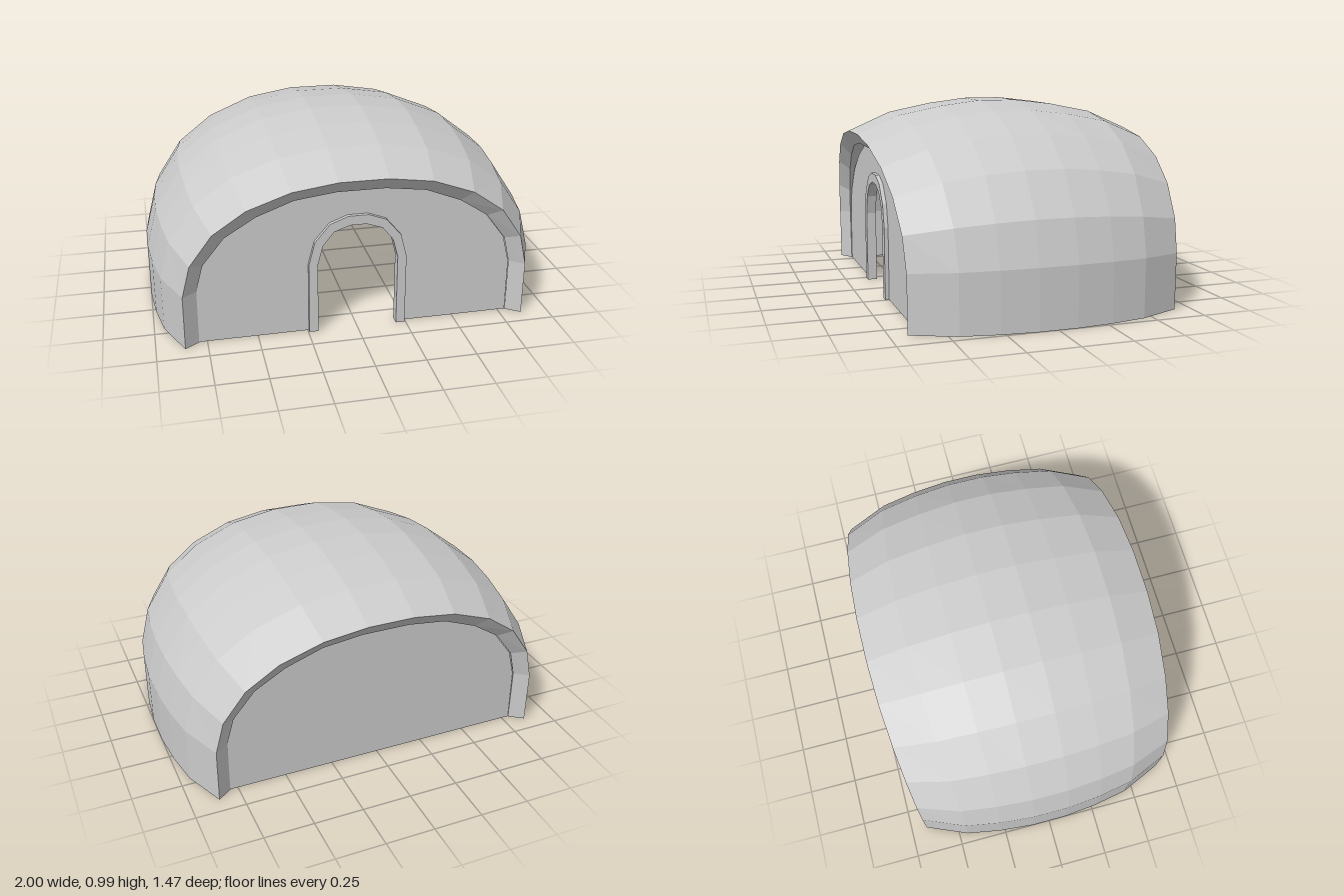
import * as THREE from 'three';

const material = new THREE.MeshStandardMaterial({ color: 0xcccccc, flatShading: true });

// half profiles, from the ground on the +x side up to the crown
const MID = [[1, 0], [1, 0.295], [0.945, 0.503], [0.81, 0.708], [0.62, 0.855], [0.38, 0.952], [0.13, 0.992]];
const END = [[0.86, 0], [0.86, 0.28], [0.82, 0.443], [0.71, 0.6], [0.55, 0.716], [0.34, 0.797], [0.12, 0.831]];
const INNER = [[0.79, 0], [0.79, 0.28], [0.755, 0.418], [0.65, 0.557], [0.5, 0.658], [0.32, 0.733], [0.12, 0.762]];
const LINING = [[0.78, 0], [0.78, 0.277], [0.745, 0.413], [0.643, 0.549], [0.495, 0.649], [0.317, 0.723], [0.119, 0.752]];
const DOOR_OUT = [[0.245, 0], [0.245, 0.37], [0.215, 0.488], [0.14, 0.578], [0.05, 0.612]];
const DOOR_IN = [[0.2, 0], [0.2, 0.37], [0.175, 0.467], [0.12, 0.536], [0.04, 0.564]];

// roof rings: z at the ground, z at the crown, narrowing in x and in y from MID to END
const STEPS = [[0.095, 0.1, 0, 0], [0.275, 0.3, 0.12, 0.15], [0.455, 0.52, 0.35, 0.42], [0.668, 0.737, 1, 1]];

// mirror a half profile into a full arch running from +x to -x
const arch = (half) => [...half, ...half.map(([x, y]) => [-x, y]).reverse()];

// outer arch of one roof ring, leaning outward towards its crown
function outerRing([foot, crown, tx, ty], side) {
  const half = MID.map(([x, y], i) => [x + (END[i][0] - x) * tx, y + (END[i][1] - y) * ty]);
  const top = half.at(-1)[1];
  return arch(half).map(([x, y]) => [x, y, side * (foot + (crown - foot) * (y / top) ** 3)]);
}

// matching inner arch, inset by the thickness of the shell
function innerRing(ring) {
  const end = arch(END), inner = arch(INNER);
  return ring.map(([x, y, z], i) => [x + inner[i][0] - end[i][0], y + inner[i][1] - end[i][1], z * 0.925]);
}

// barrel-shaped roof: outer rings from back to front, then inner rings from front to back
function shellGeometry() {
  const outer = [
    ...[...STEPS].reverse().map((step) => outerRing(step, -1)),
    ...STEPS.map((step) => outerRing(step, 1)),
  ];
  const inner = outer.map(innerRing);
  const loop = [...outer, ...[...inner].reverse()];
  const pos = [];
  const quad = (a, b, c, d) => pos.push(...a, ...b, ...c, ...a, ...c, ...d);

  loop.forEach((r, i) => {
    const next = loop[(i + 1) % loop.length];
    for (let j = 0; j < r.length - 1; j++) quad(r[j], r[j + 1], next[j + 1], next[j]);
  });

  // curved undersides of both side walls
  for (let i = 0; i < outer.length - 1; i++) {
    quad(outer[i][0], outer[i + 1][0], inner[i + 1][0], inner[i][0]);
    quad(outer[i + 1].at(-1), outer[i].at(-1), inner[i].at(-1), inner[i + 1].at(-1));
  }
  const geometry = new THREE.BufferGeometry();
  geometry.setAttribute('position', new THREE.Float32BufferAttribute(pos, 3));
  geometry.computeVertexNormals();
  return geometry;
}

// plate from an outer arch, optionally notched by an inner arch
function plate(outerHalf, notchHalf, depth, z) {
  const points = arch(outerHalf);
  if (notchHalf) points.push(...arch(notchHalf).reverse());
  const shape = new THREE.Shape(points.map(([x, y]) => new THREE.Vector2(x, y)));
  return new THREE.ExtrudeGeometry(shape, { depth, bevelEnabled: false }).translate(0, 0, z);
}

export function createModel() {
  const model = new THREE.Group();
  model.name = 'vaultedHut';
  const add = (name, geometry) => {
    const mesh = new THREE.Mesh(geometry, material);
    mesh.name = name;
    model.add(mesh);
  };

  add('roofShell', shellGeometry());
  add('innerVault', plate(INNER, LINING, 1.21, -0.605));
  add('frontWall', plate(INNER, DOOR_OUT, 0.01, 0.605));
  add('backWall', plate(INNER, null, 0.01, -0.615));
  add('doorFrame', plate(DOOR_OUT, DOOR_IN, 0.05, 0.585));
  return model;
}
